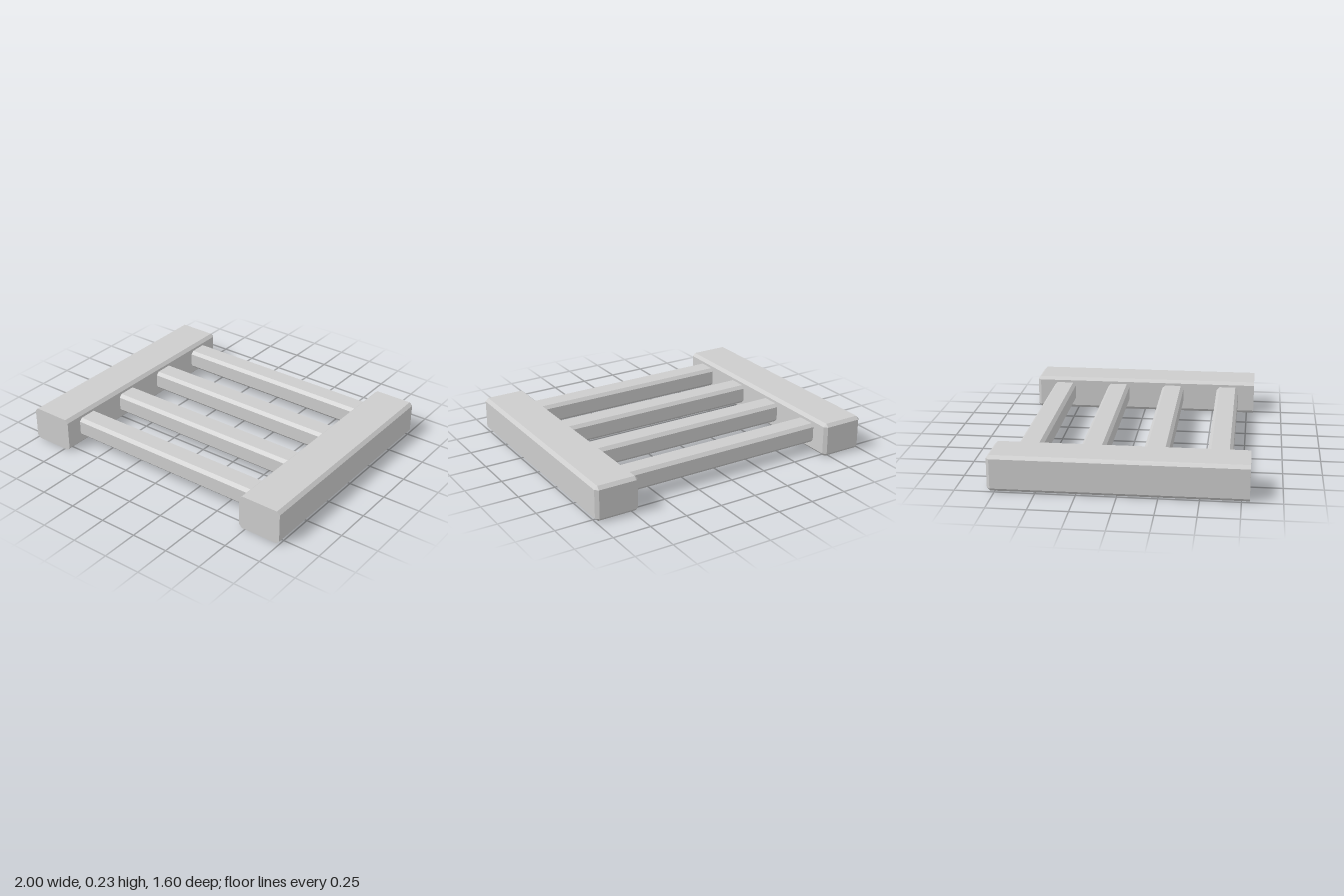
import * as THREE from 'three';
import { ConvexGeometry } from 'three/addons/geometries/ConvexGeometry.js';

const CHAMFER = 0.021;

// Eight corners of a chamfered rectangle lying across the z axis
function octagon(w, h, z, c = CHAMFER) {
  const points = [];
  for (const sx of [-1, 1]) {
    for (const sy of [-1, 1]) {
      points.push(new THREE.Vector3(sx * w / 2, sy * (h / 2 - c), z));
      points.push(new THREE.Vector3(sx * (w / 2 - c), sy * h / 2, z));
    }
  }
  return points;
}

// Four corners of the smaller end face left by a chamfered end
function insetEnd(w, h, z, c = CHAMFER) {
  const points = [];
  for (const sx of [-1, 1]) {
    for (const sy of [-1, 1]) {
      points.push(new THREE.Vector3(sx * (w / 2 - c), sy * (h / 2 - c), z));
    }
  }
  return points;
}

export function createModel() {
  const model = new THREE.Group();
  model.name = 'rungFrame';

  const grey = new THREE.MeshStandardMaterial({ color: 0xcccccc });
  grey.name = 'lightGrey';

  const railWidth = 0.295, railHeight = 0.232, halfDepth = 0.8;
  const innerX = 1 - railWidth;

  // Side rails: square-cut front end, chamfered back end
  const railGeometry = new ConvexGeometry([
    ...octagon(railWidth, railHeight, halfDepth),
    ...octagon(railWidth, railHeight, -halfDepth + CHAMFER),
    ...insetEnd(railWidth, railHeight, -halfDepth),
  ]);
  for (const side of [-1, 1]) {
    const rail = new THREE.Mesh(railGeometry, grey);
    rail.name = side > 0 ? 'leftRail' : 'rightRail';
    rail.position.set(side * (1 - railWidth / 2), railHeight / 2, 0);
    model.add(rail);
  }

  // Four evenly spaced rungs between the rails
  const rungWidth = 0.157, rungHeight = 0.134;
  const rungGeometry = new ConvexGeometry([
    ...octagon(rungWidth, rungHeight, innerX),
    ...octagon(rungWidth, rungHeight, -innerX),
  ]).rotateY(Math.PI / 2);
  for (let i = 0; i < 4; i++) {
    const rung = new THREE.Mesh(rungGeometry, grey);
    rung.name = `rung${i + 1}`;
    rung.position.set(0, 0.127, -0.595 + i * 0.4005);
    model.add(rung);
  }

  return model;
}
